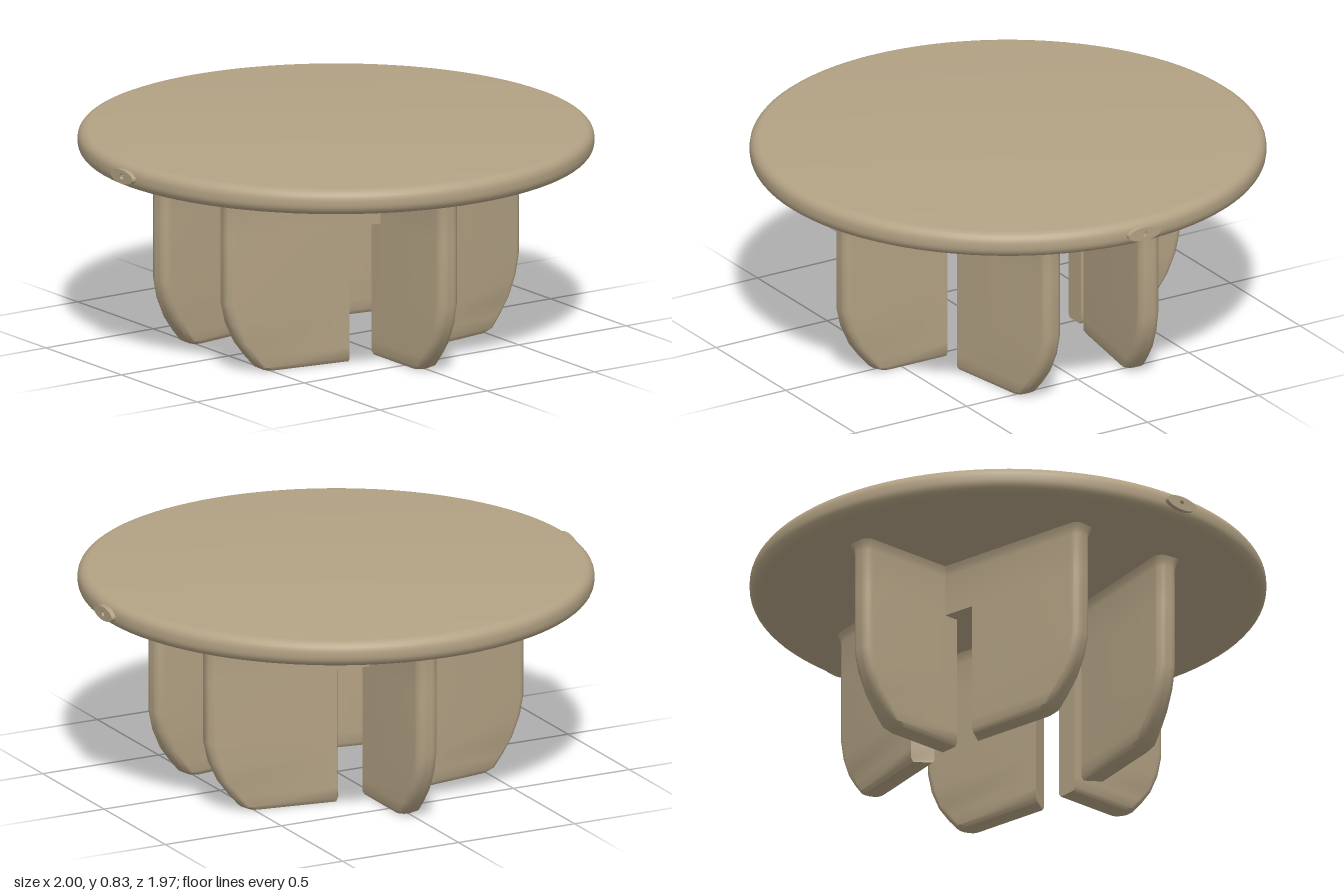
import * as THREE from 'three';
import { toCreasedNormals } from 'three/addons/utils/BufferGeometryUtils.js';

// Upright fin along local +x: stacked plan sections with a rounded outer end
// and an inner end that is notched below the ledge height.
function finGeometry({ reach, half, notchNear, notchFar, root }) {
  // [height, change in reach, change in half thickness, notched?]
  const rows = [
    [0, -0.17, -0.01, true], [0.015, -0.14, 0, true], [0.06, -0.1, 0, true],
    [0.12, -0.055, 0, true], [0.2, -0.018, 0, true], [0.28, 0, 0, true],
    [0.53, 0, 0, true], [0.53, 0, 0, false], [0.69, 0, 0, false],
    [0.715, 0.004, 0.004, false], [0.74, 0.015, 0.015, false],
  ];
  const steps = 6, corner = 0.035;
  const positions = [], index = [];
  let ring = 0;
  for (const [y, dr, dh, notched] of rows) {
    const end = reach + dr, h = half + dh;
    const section = [[notched ? notchNear : root, h]];
    for (const side of [1, -1]) {
      for (let i = 0; i <= steps; i++) {
        const a = (side > 0 ? 1 - i / steps : -i / steps) * Math.PI / 2;
        section.push([end - corner + corner * Math.cos(a), side * (h - corner) + corner * Math.sin(a)]);
      }
    }
    section.push([notched ? notchFar : root, -h]);
    ring = section.length;
    for (const [u, v] of section) positions.push(u, y, v);
  }
  for (let r = 0; r < rows.length - 1; r++) {
    for (let i = 0; i < ring; i++) {
      const j = (i + 1) % ring, a = r * ring, b = a + ring;
      index.push(a + i, a + j, b + j, a + i, b + j, b + i);
    }
  }
  // Flat foot
  for (let i = 1; i < ring - 1; i++) index.push(0, i + 1, i);
  const g = new THREE.BufferGeometry();
  g.setAttribute('position', new THREE.Float32BufferAttribute(positions, 3));
  g.setIndex(index);
  return toCreasedNormals(g, 0.6);
}

export function createModel() {
  const model = new THREE.Group();
  model.name = 'roundCap';
  const tan = new THREE.MeshStandardMaterial({ color: 0xb3a284 });
  tan.name = 'tan';

  function add(parent, geometry, name) {
    const mesh = new THREE.Mesh(geometry, tan);
    mesh.name = name;
    parent.add(mesh);
    return mesh;
  }

  // Round plate with a rolled rim
  const bottom = 0.73, top = 0.83, radius = 0.985, fillet = 0.042;
  const profile = [new THREE.Vector2(0, bottom)];
  for (const [cy, start] of [[bottom + fillet, -Math.PI / 2], [top - fillet, 0]]) {
    for (let i = 0; i <= 6; i++) {
      const a = start + i / 6 * Math.PI / 2;
      profile.push(new THREE.Vector2(radius - fillet + fillet * Math.cos(a), cy + fillet * Math.sin(a)));
    }
  }
  profile.push(new THREE.Vector2(0, top));
  add(model, toCreasedNormals(new THREE.LatheGeometry(profile, 96), 0.6), 'plate');

  // Oval bosses with a pin hole on both sides of the rim
  const oval = new THREE.Shape();
  oval.absellipse(0, 0, 0.072, 0.027, 0, Math.PI * 2);
  const pinHole = new THREE.Path();
  pinHole.absarc(0, 0, 0.011, 0, Math.PI * 2, true);
  oval.holes.push(pinHole);
  const bossGeometry = toCreasedNormals(
    new THREE.ExtrudeGeometry(oval, { depth: 0.04, bevelEnabled: false, curveSegments: 20 }), 0.6);
  bossGeometry.translate(0, 0, 0.96);
  for (const side of [1, -1]) {
    const boss = add(model, bossGeometry, side > 0 ? 'leftBoss' : 'rightBoss');
    boss.position.set(0, 0.78, side > 0 ? 0.01 : 0);
    boss.rotation.y = side * Math.PI / 2;
  }

  // Two three-finned clusters, front and back
  const slant = 0.157;
  const middle = finGeometry({ reach: 0.76, half: 0.045, notchNear: 0.3, notchFar: 0.3, root: 0.28 });
  const sideFin = (near, far) =>
    finGeometry({ reach: 0.69, half: 0.043, notchNear: near, notchFar: far, root: 0 });
  const leftGeometry = sideFin(0.17, 0.138), rightGeometry = sideFin(0.138, 0.17);
  for (const name of ['frontFins', 'backFins']) {
    const fins = new THREE.Group();
    fins.name = name;
    add(fins, middle, 'middleFin').rotation.y = -Math.PI / 2;
    const left = add(fins, leftGeometry, 'sideFinA');
    left.rotation.y = slant;
    const right = add(fins, rightGeometry, 'sideFinB');
    right.rotation.y = Math.PI - slant;
    left.position.z = right.position.z = 0.323;
    if (name === 'backFins') fins.rotation.y = Math.PI;
    model.add(fins);
  }
  return model;
}
